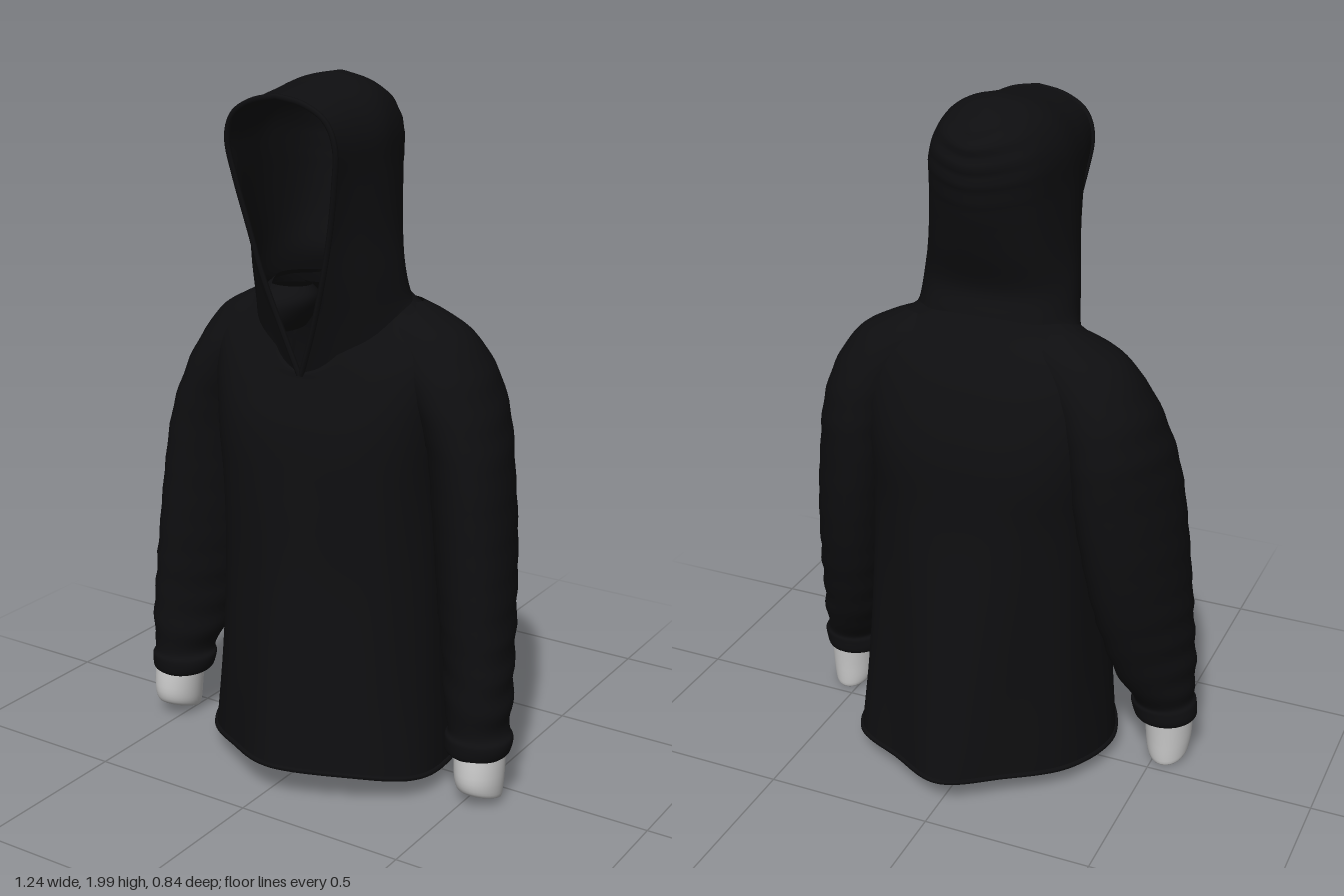
import * as THREE from 'three';
import { mergeVertices } from 'three/addons/utils/BufferGeometryUtils.js';

const black = new THREE.MeshStandardMaterial({ color: 0x0e0e10, side: THREE.DoubleSide });
const grey = new THREE.MeshStandardMaterial({ color: 0xcccccc, side: THREE.DoubleSide });
const V = (x, y, z) => new THREE.Vector3(x, y, z);
const { lerp, smoothstep } = THREE.MathUtils;
const TAU = Math.PI * 2;

// Smoothly interpolates a table of section rows, n steps between rows
function smoothRows(rows, n) {
  const out = [];
  const at = i => rows[Math.max(0, Math.min(rows.length - 1, i))];
  for (let i = 0; i < rows.length - 1; i++) {
    for (let k = 0; k < n; k++) {
      const t = k / n;
      out.push(rows[i].map((p1, c) => {
        const p0 = at(i - 1)[c], p2 = at(i + 1)[c], p3 = at(i + 2)[c];
        return p1 + 0.5 * t * (p2 - p0 + t * (2 * p0 - 5 * p1 + 4 * p2 - p3 + t * (3 * (p1 - p2) + p3 - p0)));
      }));
    }
  }
  out.push(rows[rows.length - 1]);
  return out;
}

// Skins a list of equally long point rows, leaving out hidden faces
function loft(name, sections, material, hidden = () => false) {
  const cols = sections[0].length, index = [], all = sections.flat();
  for (let i = 0; i < sections.length - 1; i++) {
    for (let j = 0; j < cols - 1; j++) {
      const a = i * cols + j, b = a + 1, c = a + cols, d = c + 1;
      if (!hidden(all[a].clone().lerp(all[d], 0.5))) index.push(a, c, b, b, c, d);
    }
  }
  const geo = new THREE.BufferGeometry().setFromPoints(all);
  geo.setIndex(index);
  const welded = mergeVertices(geo, 1e-4);
  welded.computeVertexNormals();
  const mesh = new THREE.Mesh(welded, material);
  mesh.name = name;
  return mesh;
}

// True where p lies below the shoulder and well inside the tube formed by closed rings
function inside(rings, p) {
  const n = rings[0].length - 1;
  const j = Math.round((Math.atan2(p.z, p.x) / TAU + 1) * n) % n;
  const gap = r => Math.abs(r[j].y - p.y);
  const ring = rings.reduce((best, r) => (gap(r) < gap(best) ? r : best));
  if (p.y > 1.25 || gap(ring) > 0.03) return false;
  const mid = ring[0].clone().lerp(ring[n / 2], 0.5);
  const x = mid.x + (p.x - mid.x) / 0.92, z = mid.z + (p.z - mid.z) / 0.92;
  let odd = false;
  for (let i = 0; i < n; i++) {
    const a = ring[i], b = ring[i + 1];
    if ((a.z > z) !== (b.z > z) && x < a.x + (z - a.z) / (b.z - a.z) * (b.x - a.x)) odd = !odd;
  }
  return odd;
}

function piping(name, points, radius, closed = false) {
  const curve = new THREE.CatmullRomCurve3(points, closed);
  const mesh = new THREE.Mesh(new THREE.TubeGeometry(curve, 120, radius, 6, closed), black);
  mesh.name = name;
  return mesh;
}

const power = (v, n) => Math.sign(v) * Math.abs(v) ** (2 / n);

// Outline of the flared hem, one point every 30 degrees from the left side
const HEM = new THREE.CatmullRomCurve3([
  [0.388, 0], [0.383, 0.19], [0.26, 0.315], [0.03, 0.41], [-0.15, 0.335], [-0.30, 0.215],
  [-0.375, 0.03], [-0.31, -0.17], [-0.16, -0.31], [0, -0.413], [0.17, -0.335], [0.34, -0.225],
].map(([x, z]) => V(x / 0.385, 0, z / 0.412)), true, 'catmullrom');

// Torso: side y, front y, back y, half width, front z, back z, roundness
function torsoSections() {
  const rows = smoothRows([
    [0.06, 0.105, 0.085, 0.385, 0.41, -0.412, 2],
    [0.30, 0.32, 0.31, 0.365, 0.37, -0.37, 2],
    [0.60, 0.60, 0.60, 0.35, 0.315, -0.322, 2.2],
    [0.85, 0.85, 0.85, 0.345, 0.283, -0.287, 2.4],
    [1.05, 1.03, 1.05, 0.36, 0.258, -0.275, 2.5],
    [1.20, 1.12, 1.20, 0.375, 0.228, -0.235, 2.4],
    [1.30, 1.175, 1.30, 0.36, 0.205, -0.19, 2.2],
    [1.38, 1.195, 1.38, 0.25, 0.20, -0.14, 2],
    [1.42, 1.20, 1.42, 0.20, 0.195, -0.115, 2],
  ], 6);
  return rows.map(([ys, yf, yb, w, zf, zb, n]) => {
    const ring = [];
    const low = Math.max(0, 1 - (ys - 0.06) / 0.9);
    for (let j = 0; j <= 96; j++) {
      const a = j / 96 * TAU, c = Math.cos(a), s = Math.sin(a), h = HEM.getPoint(j / 96);
      // soft vertical drape folds
      const fold = 1 + 0.012 * Math.sin(a * 9) * low * (1 - low) * 3;
      ring.push(V(
        lerp(power(c, n), h.x, low) * w * fold,
        lerp(ys, s > 0 ? yf : yb, s * s),
        lerp(power(s, n), h.z, low) * (s > 0 ? zf : -zb) * fold));
    }
    return ring;
  });
}

// Upright tube sections: y, inner x, outer x, front z, back z, tilt of the ring
function armSections(rows, side, steps, wrinkle) {
  return smoothRows(rows, steps).map(([y, x0, x1, zf, zb, tilt = 0]) => {
    const ring = [];
    const amount = wrinkle * (y < 0.6 ? 1 : 0.4) * (y > 1.25 ? 0 : 1);
    // the arm is turned so that its back lies closer to the body
    const turn = 0.25 * (1 - smoothstep(y, 0.9, 1.3)) * smoothstep(y, 0.15, 0.4);
    for (let j = 0; j <= 36; j++) {
      const a = j / 36 * TAU;
      const f = 1 + amount * Math.sin(y * 62 + 2.2 * Math.sin(a + side)) * (0.6 + 0.4 * Math.cos(2 * a));
      const dz = Math.sin(a) * f * (zf - zb) / 2;
      ring.push(V(
        side * ((x0 + x1) / 2 + Math.cos(a) * f * (x1 - x0) / 2 + turn * dz),
        y + Math.sin(a) * tilt,
        (zf + zb) / 2 + dz));
    }
    return ring;
  });
}

const SLEEVE = [
  [0.145, 0.45, 0.59, 0.165, 0.02],
  [0.16, 0.425, 0.612, 0.183, -0.005],
  [0.20, 0.42, 0.615, 0.185, -0.01],
  [0.225, 0.43, 0.602, 0.175, -0.01],
  [0.30, 0.40, 0.603, 0.18, -0.055],
  [0.42, 0.375, 0.592, 0.175, -0.105],
  [0.60, 0.34, 0.578, 0.17, -0.16],
  [0.80, 0.31, 0.56, 0.16, -0.195],
  [1.00, 0.28, 0.533, 0.15, -0.21],
  [1.10, 0.25, 0.51, 0.145, -0.207],
  [1.20, 0.20, 0.472, 0.135, -0.19],
  [1.30, 0.12, 0.405, 0.105, -0.155],
  [1.35, 0.10, 0.325, 0.075, -0.125],
  [1.385, 0.12, 0.25, 0.02, -0.08],
];

// Closed light cuff: its first rows form the slanted end
const CUFF = [
  [0.03, 0.53, 0.531, 0.10, 0.099, 0],
  [0.028, 0.49, 0.575, 0.145, 0.05, 0.012],
  [0.026, 0.478, 0.59, 0.165, 0.028, 0.022],
  [0.05, 0.468, 0.596, 0.178, 0.022, 0.018],
  [0.10, 0.462, 0.60, 0.183, 0.018, 0.008],
  [0.19, 0.455, 0.60, 0.175, 0.01, 0],
];

// Hood: back y z, side x y z, opening edge x y z
function hoodSections() {
  const rows = smoothRows([
    [1.38, -0.125, 0.245, 1.375, 0.01, 0.003, 1.19, 0.20],
    [1.42, -0.115, 0.232, 1.41, 0.02, 0.05, 1.32, 0.215],
    [1.49, -0.095, 0.222, 1.49, 0.03, 0.095, 1.46, 0.235],
    [1.60, -0.13, 0.207, 1.60, 0.04, 0.13, 1.60, 0.25],
    [1.72, -0.163, 0.196, 1.75, 0.05, 0.157, 1.73, 0.27],
    [1.82, -0.178, 0.188, 1.86, 0.04, 0.17, 1.83, 0.285],
    [1.89, -0.17, 0.15, 1.935, 0.03, 0.145, 1.90, 0.293],
    [1.93, -0.15, 0.085, 1.98, 0.02, 0.08, 1.94, 0.298],
    [1.95, -0.125, 0, 1.998, 0, 0, 1.955, 0.30],
  ], 6);
  return rows.map(([by, bz, sx, sy, sz, ex, ey, ez]) => {
    const half = s => [
      V(s * ex, ey, ez),
      V(s * (0.8 * sx + 0.2 * ex), lerp(sy, ey, 0.5), lerp(sz, ez, 0.55)),
      V(s * sx, sy, sz),
      V(s * sx * 0.72, lerp(by, sy, 0.45), lerp(bz, sz, 0.3)),
    ];
    const curve = new THREE.CatmullRomCurve3([...half(1), V(0, by, bz), ...half(-1).reverse()]);
    const pts = [];
    for (let j = 0; j <= 64; j++) {
      const p = curve.getPoint(j / 64);
      // gathered creases at the back of the crown
      const back = Math.max(0, -p.z / 0.18) * smoothstep(by, 1.65, 1.8);
      p.z -= 0.004 * back * Math.sin(by * 130);
      pts.push(p);
    }
    return pts;
  });
}

export function createModel() {
  const model = new THREE.Group();
  model.name = 'hoodedJacket';

  // Body, open at the armholes, with a rolled hem
  const torso = torsoSections();
  const sleeves = [1, -1].map(side => armSections(SLEEVE, side, 6, 0.035));
  model.add(loft('torso', torso, black, p => sleeves.some(s => inside(s, p))));
  model.add(piping('hem', torso[0].slice(0, -1), 0.008, true));

  // Hood with a rolled edge around its opening
  const hood = hoodSections();
  model.add(loft('hood', hood, black));
  const otherEdge = hood.map(r => r[64]).reverse().slice(1);
  model.add(piping('hoodEdge', [...hood.map(r => r[0]), ...otherEdge], 0.008));

  // Sleeves and cuffs
  ['left', 'right'].forEach((word, i) => {
    const arm = new THREE.Group();
    arm.name = word + 'Arm';
    arm.add(loft(word + 'Sleeve', sleeves[i], black, p => inside(torso, p)));
    arm.add(loft(word + 'Cuff', armSections(CUFF, i ? -1 : 1, 3, 0), grey));
    model.add(arm);
  });
  return model;
}
